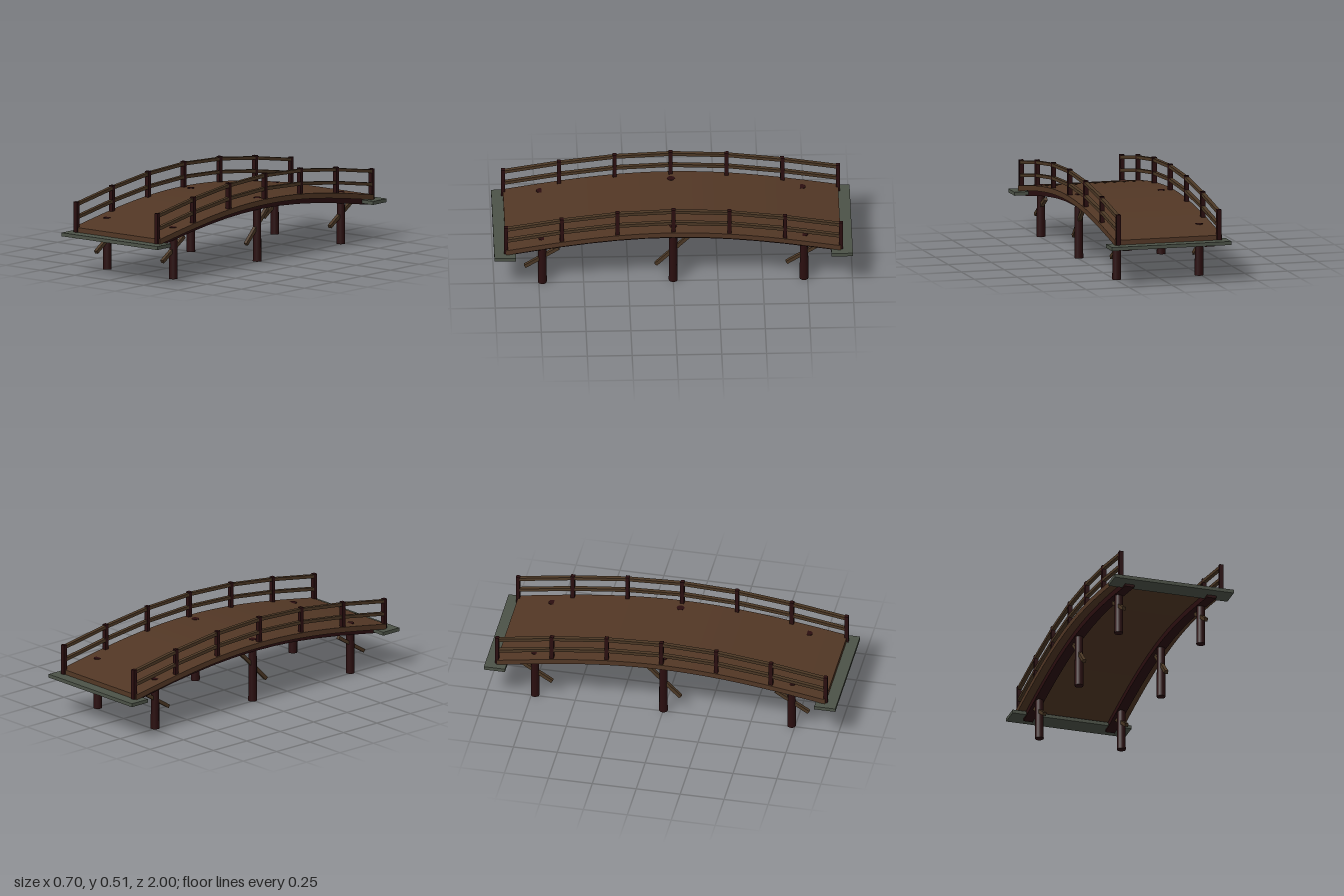
import * as THREE from 'three';

const HALF = 0.935;      // half length of the arch
const RAIL_X = 0.293;
const PILE_X = 0.24;

// Height of the walking surface at a given z
const deckY = (z) => 0.257 + 0.103 * Math.cos((Math.PI / 2) * (z / HALF));

function material(name, color) {
  const m = new THREE.MeshStandardMaterial({ color });
  m.name = name;
  return m;
}

// Band that follows the arch, between two offsets from the deck surface
function archGeometry(width, top, bottom, segments) {
  const upper = [], lower = [];
  for (let i = 0; i <= segments; i++) {
    const z = -HALF + (2 * HALF * i) / segments;
    upper.push(new THREE.Vector2(z, deckY(z) + top));
    lower.push(new THREE.Vector2(z, deckY(z) + bottom));
  }
  const shape = new THREE.Shape([...lower, ...upper.reverse()]);
  const geo = new THREE.ExtrudeGeometry(shape, { depth: width, bevelEnabled: false });
  geo.translate(0, 0, -width / 2);
  geo.rotateY(-Math.PI / 2);
  return geo;
}

export function createModel() {
  const deckWood = material('deck wood', 0x523725);
  const railWood = material('rail wood', 0x4c3825);
  const darkWood = material('dark wood', 0x2a0e0f);
  const stone = material('stone', 0x4c5247);

  const bridge = new THREE.Group();
  bridge.name = 'bridge';

  const add = (name, geo, mat, x = 0, y = 0, z = 0) => {
    const mesh = new THREE.Mesh(geo, mat);
    mesh.name = name;
    mesh.position.set(x, y, z);
    bridge.add(mesh);
    return mesh;
  };

  // Square bar between two points in the plane at x
  const addBar = (name, mat, x, z0, y0, z1, y1, width, height) => {
    const length = Math.hypot(z1 - z0, y1 - y0);
    const bar = add(name, new THREE.BoxGeometry(width, height, length), mat,
      x, (y0 + y1) / 2, (z0 + z1) / 2);
    bar.rotation.x = -Math.atan2(y1 - y0, z1 - z0);
  };

  // Arched deck
  add('deck', archGeometry(0.624, 0, -0.03, 32), deckWood);

  // Stone landing at each end
  for (const s of [-1, 1]) {
    add('landing', new THREE.BoxGeometry(0.696, 0.02, 0.12), stone, 0, 0.22, s * 0.94);
  }

  for (const side of [-1, 1]) {
    // Girder under the deck
    add('girder', archGeometry(0.055, -0.03, -0.062, 12), darkWood, side * PILE_X);

    // Railing posts
    const bays = 6;
    const zAt = (i) => -HALF + (2 * HALF * i) / bays;
    for (let i = 0; i <= bays; i++) {
      add('railPost', new THREE.BoxGeometry(0.024, 0.172, 0.022), darkWood,
        side * RAIL_X, deckY(zAt(i)) + 0.06, zAt(i));
    }

    // Top and middle rails, straight from post to post
    for (const lift of [0.131, 0.057]) {
      for (let i = 0; i < bays; i++) {
        const z0 = zAt(i), z1 = zAt(i + 1);
        addBar('rail', railWood, side * RAIL_X,
          z0, deckY(z0) + lift, z1, deckY(z1) + lift, 0.022, 0.018);
      }
    }

    // Piles with a diagonal brace through each
    for (const z of [-0.73, 0, 0.73]) {
      const top = deckY(z) + 0.0015;
      add('pile', new THREE.CylinderGeometry(0.022, 0.025, top, 10), darkWood,
        side * PILE_X, top / 2, z);
      addBar('brace', railWood, side * PILE_X,
        z + 0.098, 0.108, z - 0.09, deckY(z) - 0.065, 0.02, 0.02);
    }
  }

  return bridge;
}
